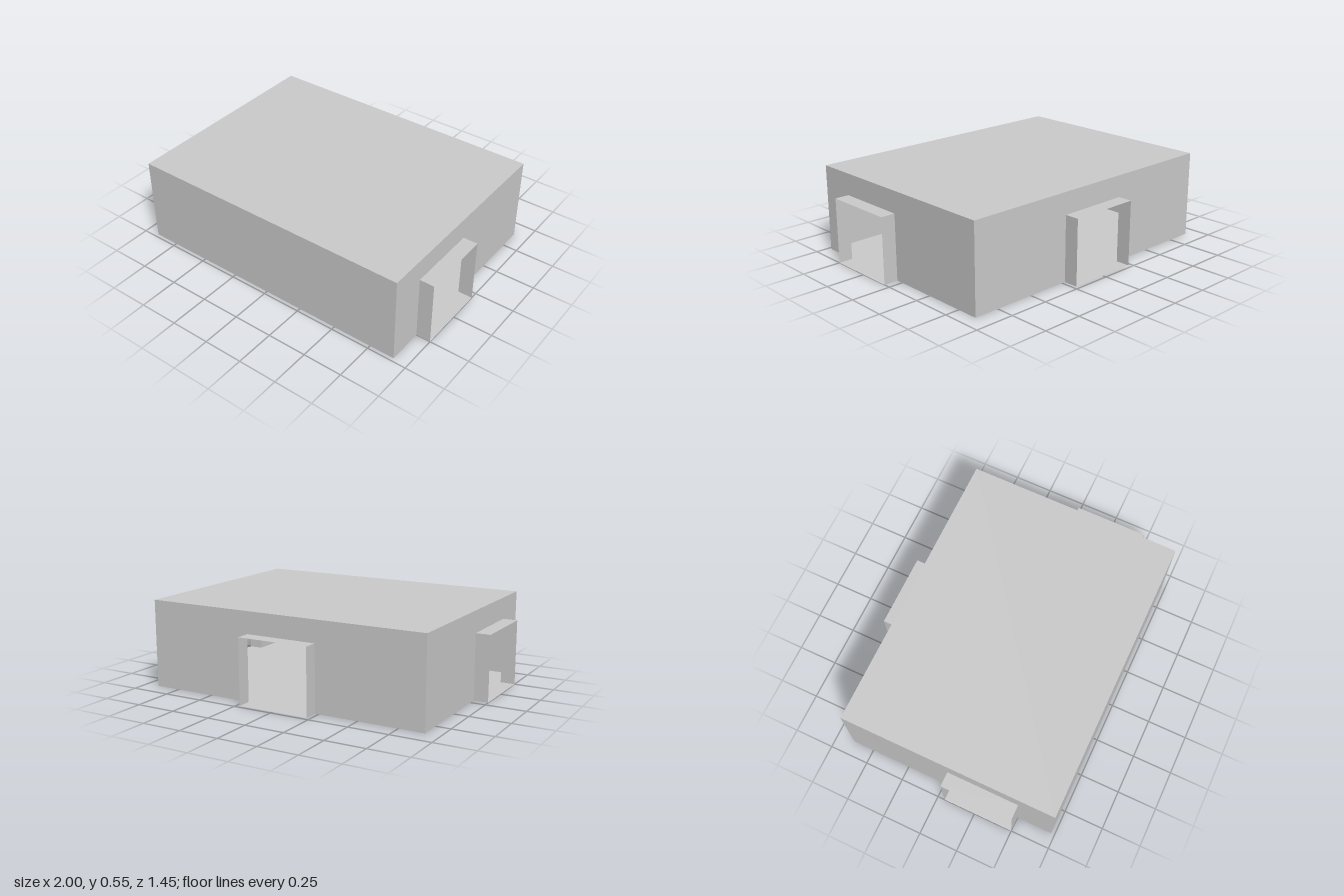
import * as THREE from 'three';

const U = 1 / 11; // building module
const WIDTH = 20 * U, DEPTH = 15 * U, HEIGHT = 6 * U;
const DOOR_W = 5 * U, DOOR_H = 4.5 * U, PORCH = U;
const CENTRE_Z = 0.5 * U; // the main hall sits slightly forward

const material = new THREE.MeshStandardMaterial({
  color: 0xcccccc, flatShading: true, side: THREE.DoubleSide,
});

function add(parent, name, geometry) {
  const mesh = new THREE.Mesh(geometry, material);
  mesh.name = name;
  parent.add(mesh);
  return mesh;
}

// Flat wall facing +z, standing on y = 0, with an optional doorway cut from its foot
function wallGeometry(width, doorX) {
  const w = width / 2, d = DOOR_W / 2;
  const points = [[-w, 0]];
  if (doorX !== undefined) {
    points.push([doorX - d, 0], [doorX - d, DOOR_H], [doorX + d, DOOR_H], [doorX + d, 0]);
  }
  points.push([w, 0], [w, HEIGHT], [-w, HEIGHT]);
  return new THREE.ShapeGeometry(new THREE.Shape(points.map(p => new THREE.Vector2(...p))));
}

// Open-ended porch projecting towards +z from a doorway
function makePorch(doorX) {
  const porch = new THREE.Group();
  porch.name = 'porch';
  porch.position.x = doorX;
  for (const side of [-1, 1]) {
    const cheek = add(porch, 'porchSide', new THREE.PlaneGeometry(PORCH, DOOR_H));
    cheek.rotation.y = side * Math.PI / 2;
    cheek.position.set(side * DOOR_W / 2, DOOR_H / 2, PORCH / 2);
  }
  const roof = add(porch, 'porchRoof', new THREE.PlaneGeometry(DOOR_W, PORCH));
  roof.rotation.x = -Math.PI / 2;
  roof.position.set(0, DOOR_H, PORCH / 2);
  const floor = add(porch, 'porchFloor', new THREE.PlaneGeometry(DOOR_W, PORCH));
  floor.rotation.x = Math.PI / 2;
  floor.position.set(0, 0, PORCH / 2);
  return porch;
}

export function createModel() {
  const model = new THREE.Group();
  model.name = 'hall';

  // Walls: [name, width, distance from hall centre, turn, doorway position]
  const walls = [
    ['frontWall', WIDTH, DEPTH / 2, 0, undefined],
    ['backWall', WIDTH, DEPTH / 2, Math.PI, 0],
    ['leftWall', DEPTH, WIDTH / 2, Math.PI / 2, -2.5 * U],
    ['rightWall', DEPTH, WIDTH / 2, -Math.PI / 2, 2.5 * U],
  ];
  for (const [name, width, distance, turn, doorX] of walls) {
    const side = new THREE.Group();
    side.name = name;
    side.rotation.y = turn;
    side.position.set(Math.sin(turn) * distance, 0, CENTRE_Z + Math.cos(turn) * distance);
    add(side, name + 'Panel', wallGeometry(width, doorX));
    if (doorX !== undefined) side.add(makePorch(doorX));
    model.add(side);
  }

  // Flat roof and floor
  const roof = add(model, 'roof', new THREE.PlaneGeometry(WIDTH, DEPTH));
  roof.rotation.x = -Math.PI / 2;
  roof.position.set(0, HEIGHT, CENTRE_Z);
  const floor = add(model, 'floor', new THREE.PlaneGeometry(WIDTH, DEPTH));
  floor.rotation.x = Math.PI / 2;
  floor.position.z = CENTRE_Z;

  return model;
}
